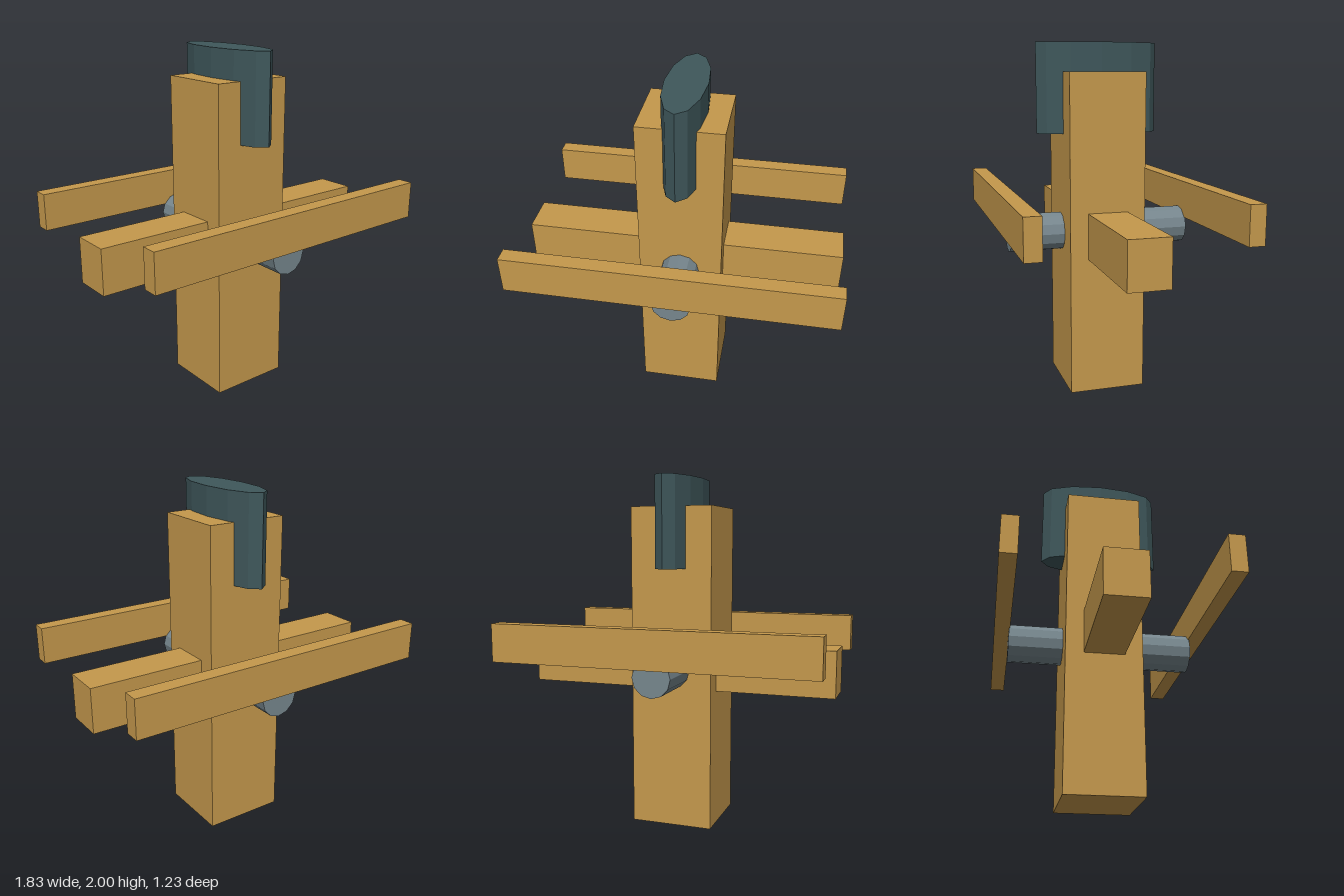
import * as THREE from 'three';

export function createModel() {
  const model = new THREE.Group();
  const mat = (name, color) => {
    const m = new THREE.MeshStandardMaterial({ color, flatShading: true });
    m.name = name;
    return m;
  };
  const wood = mat('wood', 0xc4984c);
  const steel = mat('steel', 0x76868d);
  const darkSteel = mat('dark steel', 0x3f575b);

  const add = (name, geometry, material, x, y, z) => {
    const mesh = new THREE.Mesh(geometry, material);
    mesh.name = name;
    mesh.position.set(x, y, z);
    model.add(mesh);
    return mesh;
  };

  // Upright post and the cross beam through it
  add('post', new THREE.BoxGeometry(0.474, 1.836, 0.438), wood, 0, 0.918, 0);
  add('crossBeam', new THREE.BoxGeometry(1.832, 0.264, 0.232), wood, 0, 0.922, 0);

  // Long rails in front and behind
  for (const side of [1, -1]) {
    add(side > 0 ? 'frontRail' : 'backRail',
      new THREE.BoxGeometry(1.832, 0.216, 0.09), wood, 0, 1.082, side * 0.569);
  }

  // Twelve-sided axle running front to back
  const axle = new THREE.CylinderGeometry(0.11, 0.11, 1.06, 12).rotateX(Math.PI / 2);
  add('axle', axle, steel, 0, 0.92, 0);

  // Flattened oval wedge set in the top of the post
  const wedge = new THREE.CylinderGeometry(1, 1, 0.51, 12).scale(0.117, 1, 0.355);
  add('wedge', wedge, darkSteel, 0, 1.745, 0);

  return model;
}
